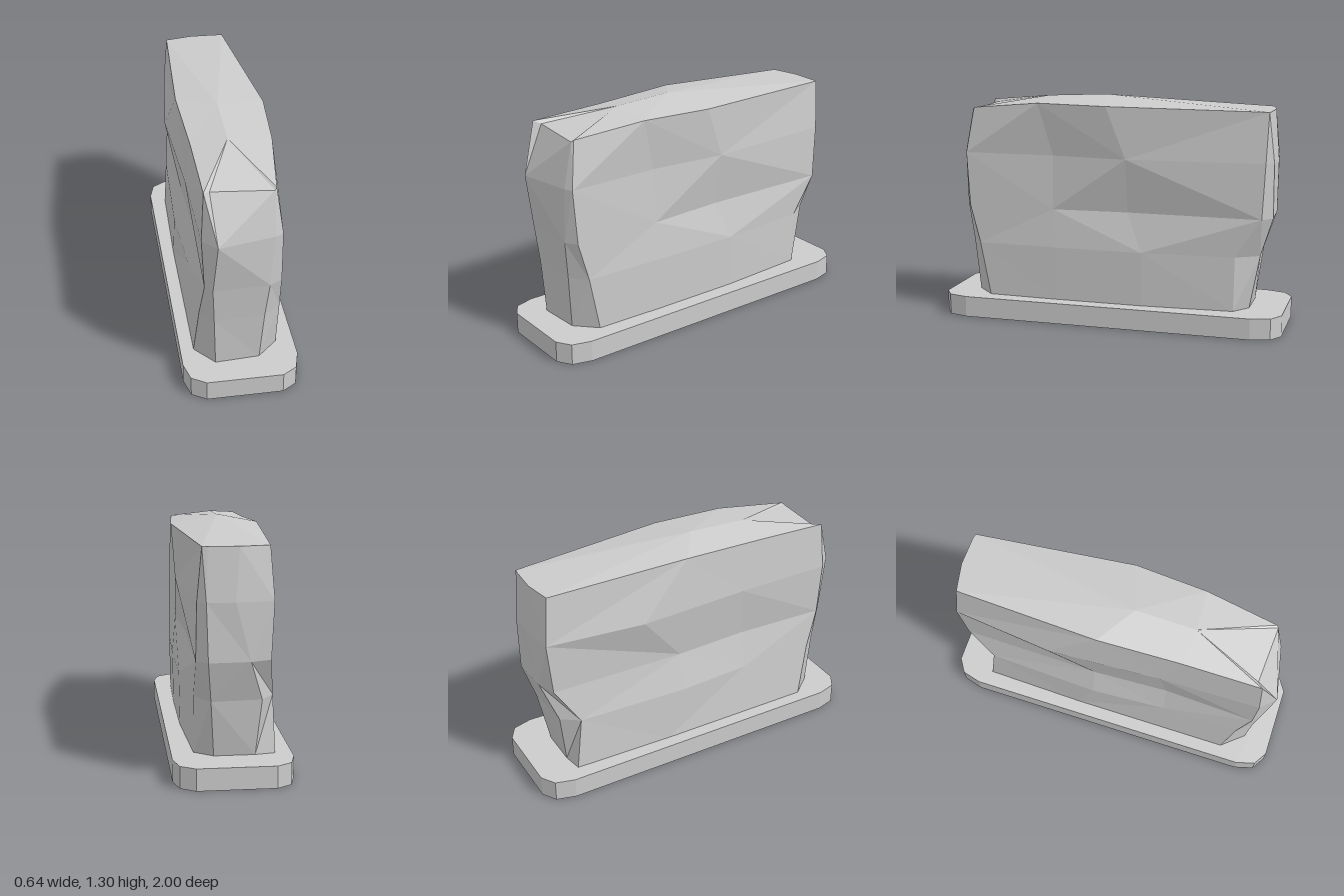
import * as THREE from 'three';

const material = new THREE.MeshStandardMaterial({ color: 0xcccccc, flatShading: true, side: THREE.DoubleSide });

// Oblong plate with two-step bevelled corners
function createPlinth() {
  const corner = [[0.21, 1], [0.29, 0.95], [0.32, 0.84]];
  const mirrored = [...corner].reverse();
  const outline = [
    ...mirrored,
    ...corner.map(([x, z]) => [-x, z]),
    ...mirrored.map(([x, z]) => [-x, -z]),
    ...corner.map(([x, z]) => [x, -z]),
  ];
  const shape = new THREE.Shape(outline.map(([x, z]) => new THREE.Vector2(x, z)));
  const geometry = new THREE.ExtrudeGeometry(shape, { depth: 0.12, bevelEnabled: false });
  geometry.rotateX(-Math.PI / 2);
  const mesh = new THREE.Mesh(geometry, material);
  mesh.name = 'plinth';
  return mesh;
}

// Hewn stone slab: rings of [x, z] corners, running front, +x side, back, -x side
function createSlab() {
  const heights = [0.12, 0.43, 0.65, 0.96];
  const rimHeights = [1.22, 1.21, 1.22, 1.26, 1.255, 1.24, 1.24, 1.24, 1.24, 1.27, 1.25, 1.235];
  const rings = [
    [[-0.14, 0.845], [0.105, 0.83], [0.22, 0.72], [0.23, 0.31], [0.23, -0.2], [0.2, -0.725],
      [0.1, -0.8], [-0.12, -0.8], [-0.23, -0.78], [-0.245, -0.2], [-0.245, 0.3], [-0.245, 0.72]],
    [[-0.15, 0.865], [0.125, 0.855], [0.22, 0.78], [0.235, 0.31], [0.235, -0.2], [0.2, -0.73],
      [0.12, -0.86], [-0.15, -0.84], [-0.22, -0.74], [-0.245, -0.1], [-0.22, 0.33], [-0.22, 0.78]],
    [[-0.16, 0.89], [0.145, 0.88], [0.215, 0.84], [0.215, 0.33], [0.19, -0.11], [0.2, -0.875],
      [0.14, -0.93], [-0.08, -0.92], [-0.19, -0.88], [-0.2, -0.1], [-0.18, 0.33], [-0.2, 0.85]],
    [[-0.14, 0.94], [0.165, 0.88], [0.21, 0.86], [0.2, 0.33], [0.245, -0.11], [0.195, -0.89],
      [0.15, -0.93], [0, -0.935], [-0.2, -0.91], [-0.26, -0.35], [-0.225, 0.3], [-0.215, 0.86]],
    [[-0.165, 0.81], [0.165, 0.83], [0.175, 0.82], [0.23, 0.41], [0.26, 0], [0.17, -0.9],
      [0.14, -0.905], [-0.02, -0.91], [-0.18, -0.88], [-0.225, -0.07], [-0.205, 0.4], [-0.2, 0.84]],
  ];
  const n = rimHeights.length;
  const positions = [];
  rings.forEach((ring, level) => ring.forEach(([x, z], i) => {
    positions.push(x, heights[level] ?? rimHeights[i], z);
  }));

  // Faceted walls
  const index = [];
  for (let level = 0; level < rings.length - 1; level++) {
    for (let i = 0; i < n; i++) {
      const a = level * n + i;
      const b = level * n + (i + 1) % n;
      if ((i + level) % 2) index.push(a, b, b + n, a, b + n, a + n);
      else index.push(a, b, a + n, b, b + n, a + n);
    }
  }

  // Low crown rising to a short ridge
  const rim = (rings.length - 1) * n;
  const frontPeak = positions.length / 3;
  const backPeak = frontPeak + 1;
  positions.push(-0.01, 1.285, 0.42, -0.01, 1.3, 0.08);
  for (let i = 0; i < n; i++) {
    const peak = i >= 3 && i < 10 ? backPeak : frontPeak;
    index.push(rim + i, rim + (i + 1) % n, peak);
  }
  index.push(rim + 3, backPeak, frontPeak, rim + 10, frontPeak, backPeak);

  const indexed = new THREE.BufferGeometry();
  indexed.setAttribute('position', new THREE.Float32BufferAttribute(positions, 3));
  indexed.setIndex(index);
  const geometry = indexed.toNonIndexed();
  geometry.computeVertexNormals();
  const mesh = new THREE.Mesh(geometry, material);
  mesh.name = 'stoneSlab';
  return mesh;
}

export function createModel() {
  const group = new THREE.Group();
  group.name = 'stoneOnPlinth';
  group.add(createPlinth(), createSlab());
  return group;
}
